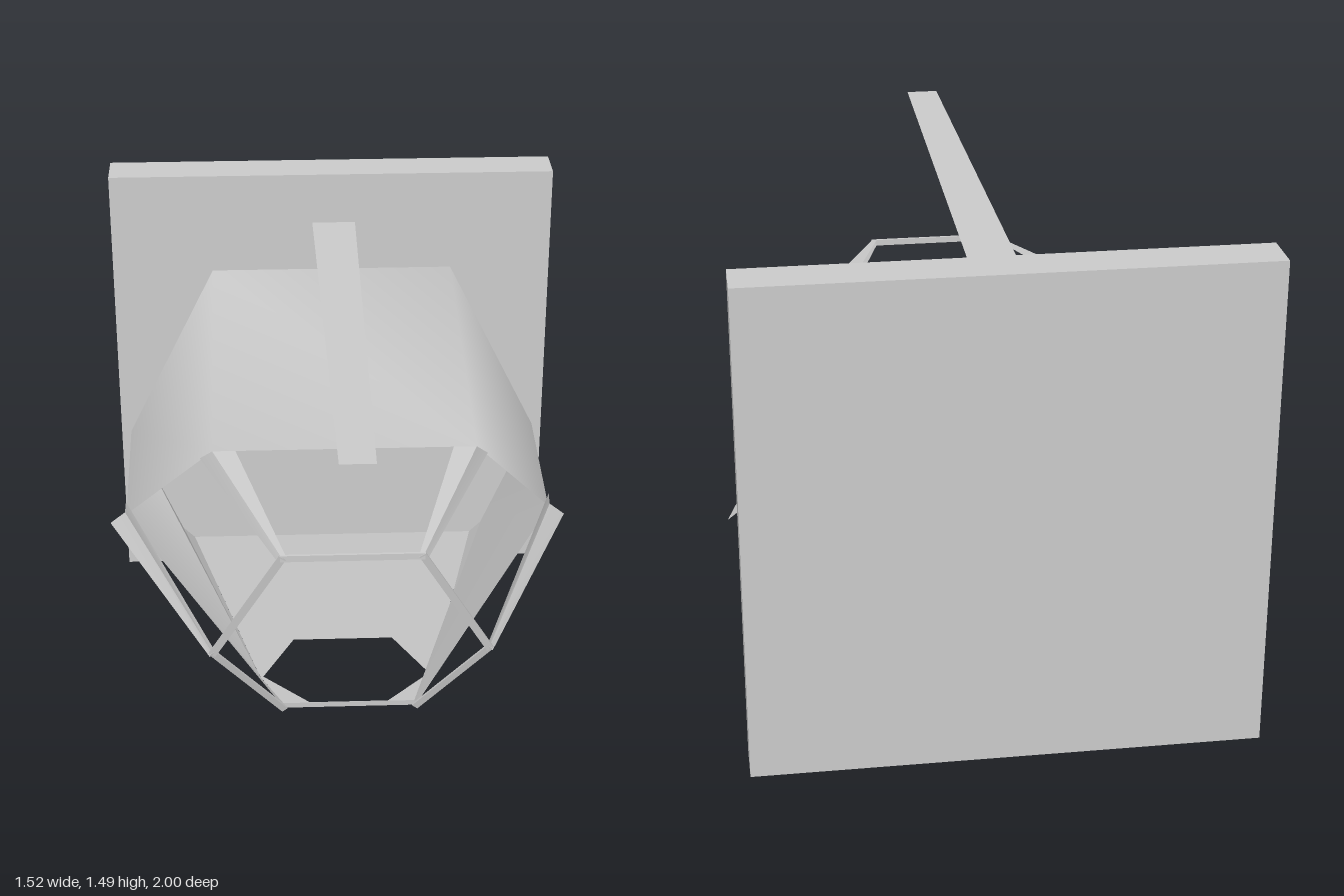
import * as THREE from 'three';
import { toCreasedNormals } from 'three/addons/utils/BufferGeometryUtils.js';

const material = new THREE.MeshStandardMaterial({ color: 0xcccccc, side: THREE.DoubleSide });
const BACK = -0.86;

function addMesh(group, name, geometry) {
  const mesh = new THREE.Mesh(geometry, material);
  mesh.name = name;
  group.add(mesh);
}

// Surface between cross-sections that all have the same number of points
function loft(sections) {
  const n = sections[0].length;
  const index = [];
  for (let i = 0; i < sections.length - 1; i++) {
    for (let j = 0; j < n - 1; j++) {
      const a = i * n + j, b = a + 1, c = a + n, d = c + 1;
      index.push(a, c, b, b, c, d);
    }
  }
  const geometry = new THREE.BufferGeometry();
  geometry.setAttribute('position', new THREE.Float32BufferAttribute(sections.flat(2), 3));
  geometry.setIndex(index);
  geometry.computeVertexNormals();
  return geometry;
}

// Convex panel from its corners
function panel(points) {
  const geometry = new THREE.BufferGeometry();
  geometry.setAttribute('position', new THREE.Float32BufferAttribute(points.flat(), 3));
  const index = [];
  for (let i = 1; i < points.length - 1; i++) index.push(0, i, i + 1);
  geometry.setIndex(index);
  return toCreasedNormals(geometry, 0.7);
}

// Flat bar between two points, broad side to the front
function bar(from, to, width, depth) {
  const a = new THREE.Vector3(...from), b = new THREE.Vector3(...to);
  const along = b.clone().sub(a);
  const geometry = new THREE.BoxGeometry(along.length() + width * 0.5, width, depth);
  const x = along.normalize();
  const y = new THREE.Vector3(0, 0, 1).cross(x).normalize();
  const z = x.clone().cross(y);
  geometry.applyMatrix4(new THREE.Matrix4().makeBasis(x, y, z));
  const middle = a.add(b).multiplyScalar(0.5);
  return geometry.translate(middle.x, middle.y, middle.z);
}

// Mirror points to the other side, keeping the facing
const mirrored = (points, side) => {
  const result = points.map(([x, y, z]) => [x * side, y, z]);
  return side < 0 ? result.reverse() : result;
};

export function createModel() {
  const model = new THREE.Group();
  model.name = 'cockpitOnWall';

  // Rear wall
  addMesh(model, 'rearWall', new THREE.BoxGeometry(1.485, 1.49, 0.14).translate(0, 0.745, -0.93));

  // Upper hull, swept back from the roof edge to the sides
  const halfRear = [[0.71, 0.54, BACK], [0.405, 1.15, BACK]];
  const halfFront = [[0.705, 0.51, -0.32], [0.4, 1.02, 0.2]];
  const arch = (half) => [...half, ...half.map(([x, y, z]) => [-x, y, z]).reverse()];
  addMesh(model, 'upperHull', loft([arch(halfRear), arch(halfFront)]));

  // Sloping floor with a six-sided window
  const floor = new THREE.Shape();
  const outline = [[0.5, BACK], [0.27, 0.32], [0.2, 0.51]];
  const opening = [[0.16, 0.05], [0.26, 0.32], [0.12, 0.51 - 0.003]];
  const loop = (half) => [...half, ...half.map(([x, z]) => [-x, z]).reverse()]
    .map(([x, z]) => new THREE.Vector2(x, z));
  floor.setFromPoints(loop(outline));
  floor.holes.push(new THREE.Path(loop(opening)));
  const floorGeometry = new THREE.ShapeGeometry(floor);
  const position = floorGeometry.attributes.position;
  for (let i = 0; i < position.count; i++) {
    const z = position.getY(i);
    position.setXYZ(i, position.getX(i), 0.1 + (z - BACK) * 0.153, z);
  }
  floorGeometry.computeVertexNormals();
  addMesh(model, 'floor', floorGeometry);
  addMesh(model, 'floorLip', panel([[-0.2, 0.31, 0.51], [0.2, 0.31, 0.51], [0.2, 0.335, 0.57], [-0.2, 0.335, 0.57]]));

  // Corners of the front window frame, left half from top to bottom
  const frame = [[0.2, 0.957, 0.73], [0.405, 0.6, 0.665], [0.2, 0.333, 0.57]];

  for (const side of [1, -1]) {
    const name = side > 0 ? 'left' : 'right';

    // Lower hull side and the chamfer along the floor
    addMesh(model, name + 'LowerSide', panel(mirrored([
      [0.54, 0.14, BACK], [0.71, 0.54, BACK], [0.705, 0.5, -0.32],
      [0.2, 0.335, 0.57], [0.2, 0.31, 0.51], [0.27, 0.28, 0.32],
    ], side)));
    addMesh(model, name + 'FloorChamfer', panel(mirrored([
      [0.5, 0.1, BACK], [0.54, 0.14, BACK], [0.27, 0.28, 0.32],
    ], side)));

    // Folded struts that taper towards the front frame
    addMesh(model, name + 'UpperStrut', toCreasedNormals(loft([
      mirrored([[0.33, 1.02, 0.2], [0.4, 1.02, 0.2], [0.44, 0.97, 0.15]], side),
      mirrored([[0.19, 0.967, 0.73], [0.205, 0.967, 0.73], [0.215, 0.95, 0.73]], side),
    ]), 0.5));
    addMesh(model, name + 'SideStrut', toCreasedNormals(loft([
      mirrored([[0.705, 0.555, -0.325], [0.71, 0.515, -0.325], [0.76, 0.475, -0.325]], side),
      mirrored([[0.4, 0.61, 0.665], [0.405, 0.598, 0.665], [0.415, 0.588, 0.665]], side),
    ]), 0.5));

    // Side bars of the front frame
    const [top, middle, bottom] = frame.map(([x, y, z]) => [x * side, y, z]);
    addMesh(model, name + 'UpperFrameBar', bar(top, middle, 0.022, 0.008));
    addMesh(model, name + 'LowerFrameBar', bar(middle, bottom, 0.02, 0.008));
  }
  addMesh(model, 'topFrameBar', bar([-0.2, 0.957, 0.73], [0.2, 0.957, 0.73], 0.02, 0.008));

  // Thin tapering strip floating above the roof
  addMesh(model, 'overheadStrip', panel([
    [-0.07, 1.397, -0.67], [-0.05, 1.403, 1], [0.05, 1.403, 1], [0.07, 1.397, -0.67],
  ]));

  return model;
}
